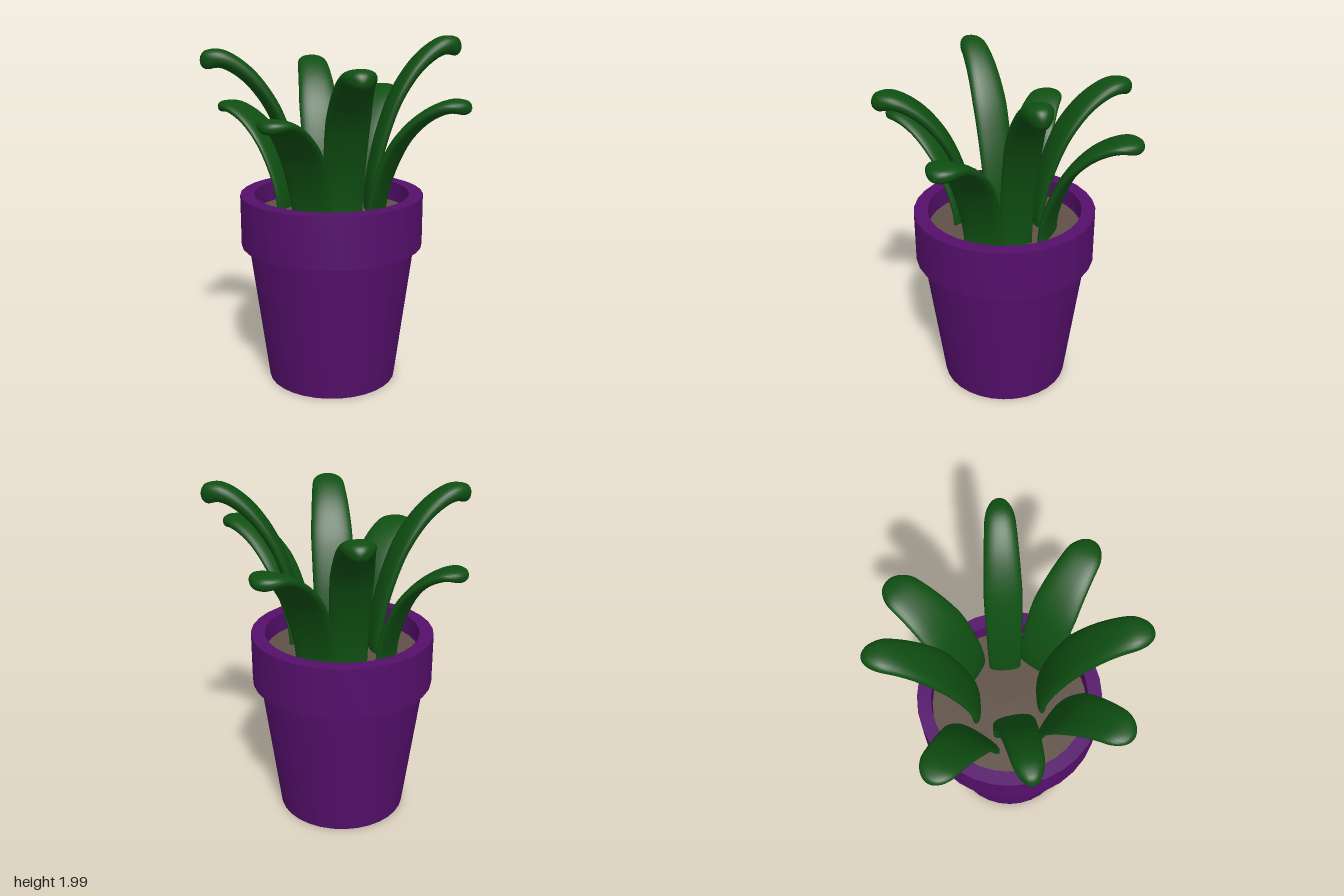
import * as THREE from 'three';
import { toCreasedNormals } from 'three/addons/utils/BufferGeometryUtils.js';

const SOIL_Y = 1.0, LEAF_REACH = 0.525, LEAF_HEIGHT = 0.7, LEAF_WIDTH = 0.26;

// Rounds a leaf's end off to nothing over the last stretch d of its length
const roundEnd = (s, d) => (s < 1 - d ? 1 : Math.sqrt(Math.max(0.0004, 1 - ((s - 1 + d) / d) ** 2)));

// One leaf arching outwards along +x, swept from rounded cross-sections
function leafGeometry() {
  const spine = new THREE.CatmullRomCurve3([
    [-0.002, -0.04], [0, 0.06], [0.022, 0.17], [0.07, 0.31], [0.15, 0.46],
    [0.28, 0.59], [0.42, 0.655], [0.525, 0.645],
  ].map(([x, y]) => new THREE.Vector3(x, y, 0)));
  const rows = 40, sides = 24, pos = [], index = [];
  for (let i = 0; i <= rows; i++) {
    const s = Math.sin((i / rows) * Math.PI / 2);
    const p = spine.getPointAt(s), t = spine.getTangentAt(s);
    const half = (0.116 + 0.016 * Math.sin(Math.PI * Math.min(1, s * 0.85))
      - 0.035 * Math.max(0, s - 0.55) / 0.45) * roundEnd(s, 0.13);
    const thick = (0.027 + 0.011 * s) * roundEnd(s, 0.045);
    for (let j = 0; j < sides; j++) {
      const a = (j / sides) * Math.PI * 2, c = Math.cos(a), n = Math.sin(a);
      const w = half * Math.sign(c) * Math.abs(c) ** 0.85;
      const h = thick * Math.sign(n) * Math.abs(n) ** 0.85;
      pos.push(p.x - t.y * h, p.y + t.x * h, w);
      if (i < rows) {
        const k = (j + 1) % sides, r = i * sides, q = r + sides;
        index.push(r + j, q + j, r + k, r + k, q + j, q + k);
      }
    }
  }
  const g = new THREE.BufferGeometry();
  g.setAttribute('position', new THREE.Float32BufferAttribute(pos, 3));
  g.setIndex(index);
  g.computeVertexNormals();
  return g;
}

export function createModel() {
  const model = new THREE.Group();
  model.name = 'pottedPlant';
  const mat = (color) => new THREE.MeshStandardMaterial({ color });
  const purple = mat(0x550f6b), green = mat(0x0f4f12), brown = mat(0x5f5147);
  const cx = -0.035, cz = 0.023;

  // Tapered pot with a thick collar and a hollow mouth
  const profile = [
    [0, 0], [0.375, 0], [0.48, 0.82], [0.523, 0.82], [0.523, 1.115], [0.444, 1.115], [0.444, 0.98],
  ].map(([x, y]) => new THREE.Vector2(x, y));
  const pot = new THREE.Mesh(toCreasedNormals(new THREE.LatheGeometry(profile, 32), 0.6), purple);
  pot.name = 'pot';
  pot.position.set(cx, 0, cz);
  model.add(pot);

  // Soil
  const soil = new THREE.Mesh(new THREE.CircleGeometry(0.446, 32), brown);
  soil.name = 'soil';
  soil.rotation.x = -Math.PI / 2;
  soil.position.set(cx, SOIL_Y, cz);
  model.add(soil);

  // Leaves: base x, base z, tip x, tip z, top height, width
  const leaves = [
    ['leafLeft', 0.25, 0.027, 0.775, 0.027, 1.70, 0.26],
    ['leafRight', -0.325, 0.027, -0.775, 0.027, 1.612, 0.26],
    ['leafFront', -0.028, 0.285, -0.028, 0.76, 1.637, 0.265],
    ['leafBack', -0.026, -0.25, -0.026, -0.765, 1.672, 0.285],
    ['leafBackLeft', 0.14, -0.125, 0.56, -0.435, 2.0, 0.2],
    ['leafBackRight', -0.165, -0.125, -0.475, -0.555, 1.85, 0.23],
    ['leafFrontRight', -0.19, 0.125, -0.57, 0.505, 1.95, 0.2],
    ['leafFrontLeft', 0.1, 0.155, 0.41, 0.58, 1.885, 0.24],
  ];
  const geometry = leafGeometry();
  for (const [name, x, z, tx, tz, top, width] of leaves) {
    const leaf = new THREE.Mesh(geometry, green);
    leaf.name = name;
    leaf.position.set(x, SOIL_Y, z);
    leaf.rotation.y = Math.atan2(z - tz, tx - x);
    leaf.scale.set(Math.hypot(tx - x, tz - z) / LEAF_REACH, (top - SOIL_Y) / LEAF_HEIGHT, width / LEAF_WIDTH);
    model.add(leaf);
  }
  return model;
}
